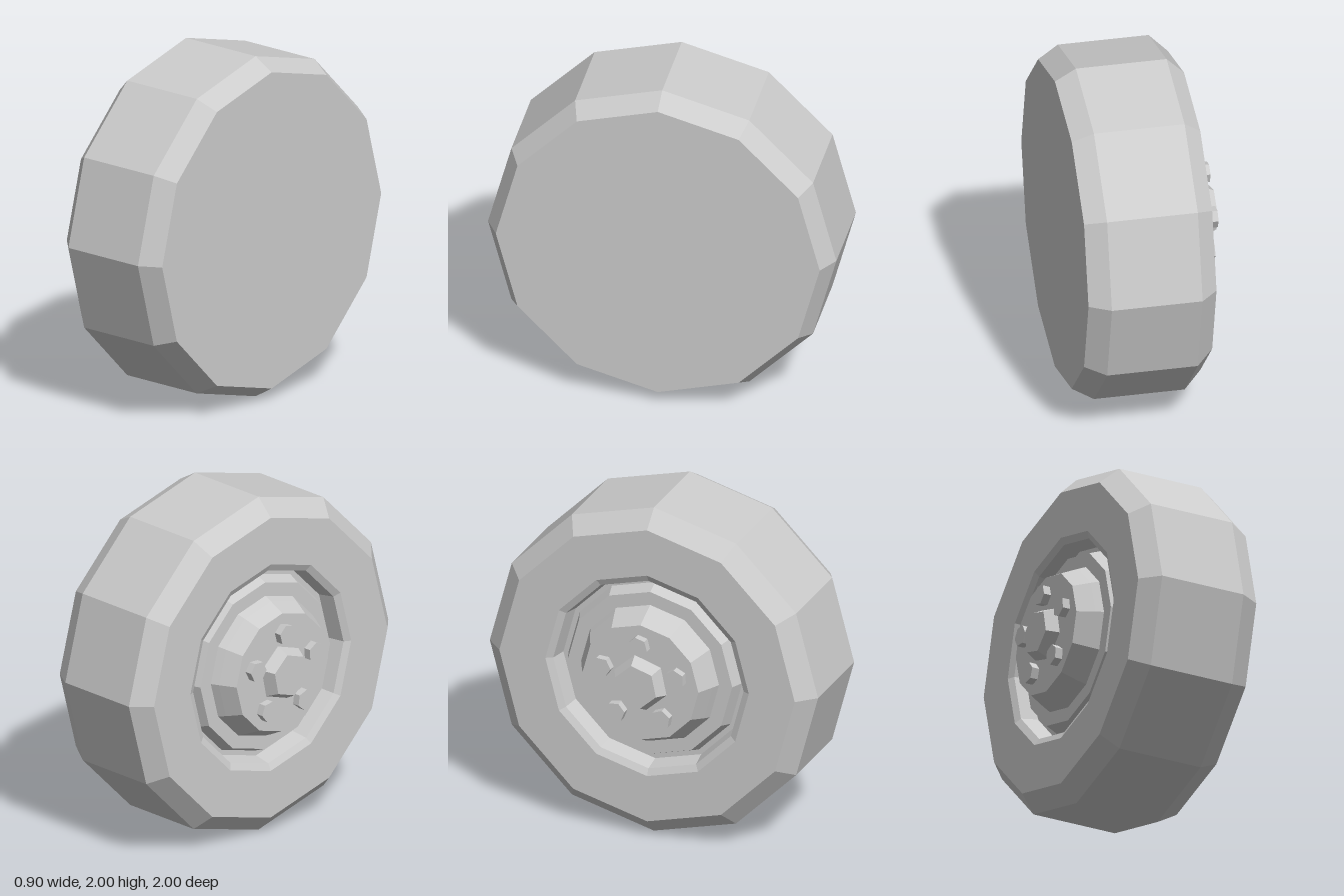
import * as THREE from 'three';

const material = new THREE.MeshStandardMaterial({ color: 0xcccccc, flatShading: true });
const SIDES = 12;

function addMesh(parent, name, geometry) {
  const mesh = new THREE.Mesh(geometry, material);
  mesh.name = name;
  parent.add(mesh);
  return mesh;
}

// Low-poly ring turned around the axle; points are [radius, distance outward]
function turned(points) {
  return new THREE.LatheGeometry(points.map(([r, h]) => new THREE.Vector2(r, h)), SIDES);
}

// Six-sided stud standing between two distances along the axle
function stud(topRadius, baseRadius, from, to, angle) {
  const geometry = new THREE.CylinderGeometry(topRadius, baseRadius, to - from, 6, 1, false, angle);
  return geometry.translate(0, (from + to) / 2, 0);
}

export function createModel() {
  const model = new THREE.Group();
  model.name = 'wheel';

  // The axle is built along y, then laid down so the hub faces -x
  const axle = new THREE.Group();
  axle.name = 'wheelAssembly';
  axle.rotation.z = Math.PI / 2;
  axle.position.y = 1;
  model.add(axle);

  // Tyre with closed inner side, bevelled tread and flat outer wall
  addMesh(axle, 'tyre', turned([
    [0, -0.45], [0.93, -0.45], [1, -0.33], [1, 0.19], [0.9, 0.29], [0.62, 0.29],
  ]));

  // Rim lip, recessed groove and raised inner step
  addMesh(axle, 'rim', turned([
    [0.62, 0.29], [0.58, 0.27], [0.56, 0.17], [0.53, 0.17], [0.5, 0.245], [0.42, 0.245],
  ]));

  // Tapered hub with flat face
  addMesh(axle, 'hub', turned([[0.42, 0.245], [0.4, 0.29], [0.353, 0.385], [0, 0.385]]));

  // Centre cap
  addMesh(axle, 'hubCap', stud(0.13, 0.17, 0.38, 0.455, -Math.PI / 10));

  // Five wheel nuts, the first one at the top
  for (let i = 0; i < 5; i++) {
    const angle = Math.PI / 2 + (i * Math.PI * 2) / 5;
    const nut = addMesh(axle, 'wheelNut' + (i + 1), stud(0.06, 0.06, 0.38, 0.43, angle + Math.PI / 12));
    nut.position.set(0.235 * Math.sin(angle), 0, 0.235 * Math.cos(angle));
  }

  return model;
}
